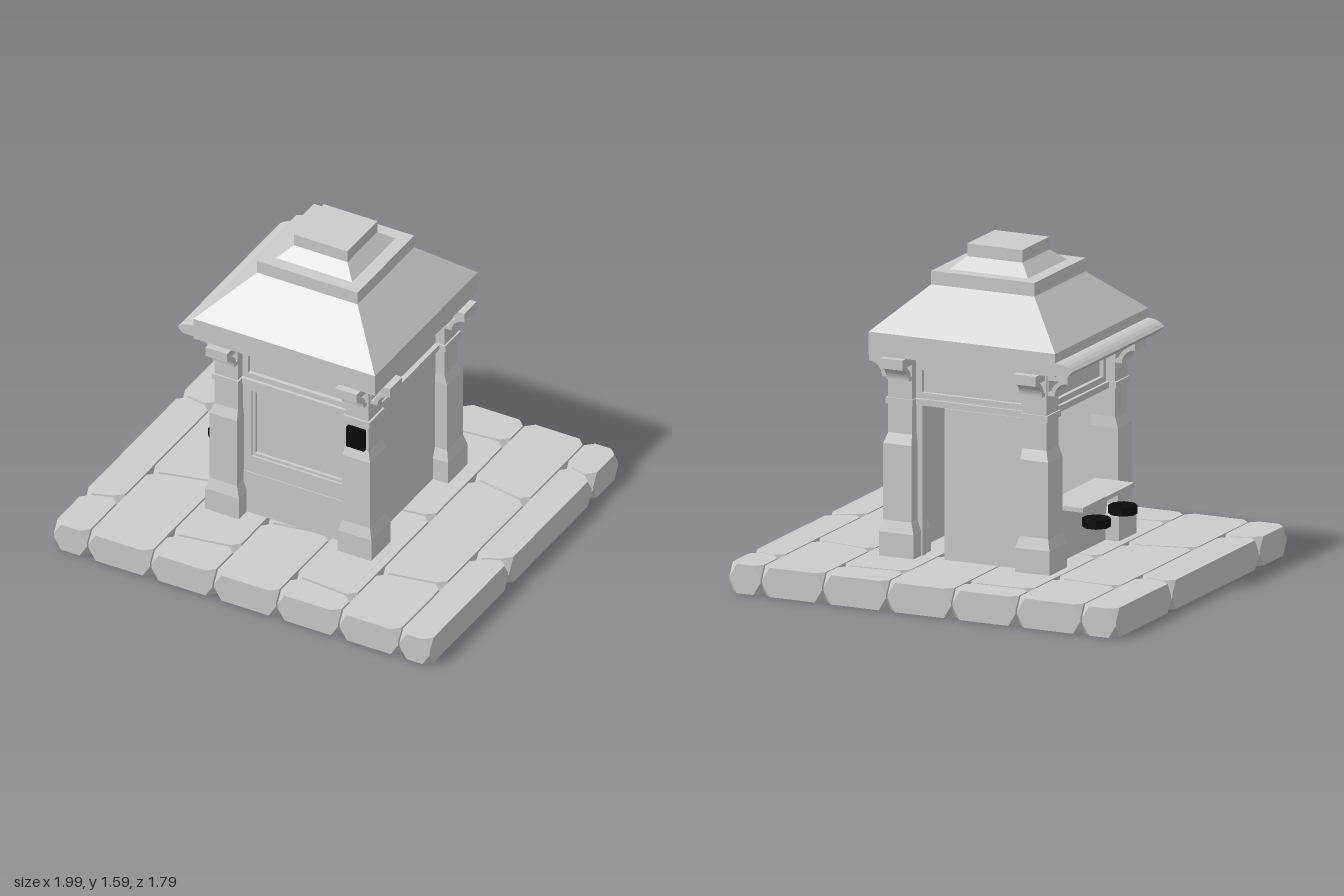
import * as THREE from 'three';
import { ConvexGeometry } from 'three/addons/geometries/ConvexGeometry.js';

const grey = new THREE.MeshStandardMaterial({ color: 0xcccccc, flatShading: true, side: THREE.DoubleSide });
const black = new THREE.MeshStandardMaterial({ color: 0x0a0a0a, flatShading: true });

function add(parent, name, geometry, material = grey) {
  const mesh = new THREE.Mesh(geometry, material);
  mesh.name = name;
  parent.add(mesh);
  return mesh;
}

// Box given by its limits on each axis
function block(parent, name, [x0, x1], [y0, y1], [z0, z1], material) {
  const g = new THREE.BoxGeometry(x1 - x0, y1 - y0, z1 - z0);
  g.translate((x0 + x1) / 2, (y0 + y1) / 2, (z0 + z1) / 2);
  return add(parent, name, g, material);
}

// Block whose top rectangle differs from its bottom; rectangles are [x0, x1, z0, z1]
function taper(parent, name, y0, y1, bottom, top) {
  const g = new THREE.BoxGeometry(1, 1, 1);
  const p = g.attributes.position;
  for (let i = 0; i < p.count; i++) {
    const r = p.getY(i) > 0 ? top : bottom;
    p.setXYZ(i, p.getX(i) > 0 ? r[1] : r[0], p.getY(i) > 0 ? y1 : y0, p.getZ(i) > 0 ? r[3] : r[2]);
  }
  g.computeVertexNormals();
  return add(parent, name, g);
}

// Rectangular frame standing in the xy plane
function frame(parent, name, [x0, x1], [y0, y1], border, z0, depth) {
  const rect = (Type, b) => new Type([
    new THREE.Vector2(x0 + b, y0 + b), new THREE.Vector2(x1 - b, y0 + b),
    new THREE.Vector2(x1 - b, y1 - b), new THREE.Vector2(x0 + b, y1 - b)]);
  const s = rect(THREE.Shape, 0);
  s.holes.push(rect(THREE.Path, border));
  const g = new THREE.ExtrudeGeometry(s, { depth, bevelEnabled: false });
  g.translate(0, 0, z0);
  return add(parent, name, g);
}

// Paving stone with all eight corners cut off; z limits at its left and right sides
function stone(parent, x0, x1, zl, zr) {
  const points = [];
  const cx = 0.038, cy = 0.062, cz = 0.036, h = 0.14;
  [[x0, zl, 1], [x1, zr, -1]].forEach(([x, ends, sx]) => ends.forEach((z, i) => {
    const sz = i ? -1 : 1;
    [[0, 1], [h, -1]].forEach(([y, sy]) => points.push(
      new THREE.Vector3(x + sx * cx, y, z),
      new THREE.Vector3(x, y + sy * cy, z),
      new THREE.Vector3(x, y, z + sz * cz)));
  }));
  add(parent, 'pavingStone', new ConvexGeometry(points));
}

function paving() {
  const g = new THREE.Group();
  g.name = 'paving';
  const xs = [-1, -0.817, -0.483, -0.15, 0.185, 0.515, 0.832, 1];
  // Joints of each row: z at the left side and z at the right side
  const joints = [
    [[-0.31, -0.295], [0.605, 0.57]],
    [[-0.5, -0.485], [0.3, 0.24]],
    [[-0.73, -0.735], [-0.03, 0], [0.7, 0.66]],
    [[-0.36, -0.33], [0.4, 0.36]],
    [[-0.68, -0.7], [0.03, 0], [0.725, 0.745]],
    [[-0.37, -0.33], [0.5, 0.46]],
    [[-0.67, -0.65], [0.185, 0.14]]];
  joints.forEach((row, i) => {
    const cuts = [[-0.902, -0.902], ...row, [0.898, 0.898]];
    for (let k = 0; k + 1 < cuts.length; k++) {
      const [a, b] = [cuts[k], cuts[k + 1]];
      stone(g, xs[i] + 0.004, xs[i + 1] - 0.004, [a[0] + 0.007, b[0] - 0.007], [a[1] + 0.007, b[1] - 0.007]);
    }
  });
  return g;
}

// Corner pillar of stacked blocks, [y, inner, outer] per level
function pillar(parent, sx, sz) {
  const levels = [[0.14, 0.262, 0.44], [0.255, 0.262, 0.44], [0.31, 0.28, 0.425], [0.675, 0.28, 0.425],
    [0.725, 0.285, 0.408], [1.1, 0.285, 0.408]];
  const rect = ([, a, b]) => {
    const x = [a * sx, b * sx].sort((m, n) => m - n);
    const z = [(a + 0.01) * sz, (b + 0.015) * sz].sort((m, n) => m - n);
    return [...x, z[0] - 0.005, z[1] - 0.005];
  };
  for (let i = 0; i + 1 < levels.length; i++)
    taper(parent, 'pillar', levels[i][0], levels[i + 1][0], rect(levels[i]), rect(levels[i + 1]));
  const [x0, x1, z0, z1] = rect([0, 0.278, 0.417]);
  block(parent, 'pillarBand', [x0, x1], [0.862, 0.892], [z0, z1]);
}

// Eaves bracket: slab carried by a concave strip, open behind
function bracketGeometry() {
  const s = new THREE.Shape();
  s.moveTo(0, 0);
  s.lineTo(0.038, 0);
  s.absarc(0.105, 0, 0.067, Math.PI, Math.PI / 2, true);
  s.lineTo(0.105, 0.072);
  s.lineTo(0.105, 0.115);
  s.lineTo(0, 0.115);
  s.closePath();
  const hole = new THREE.Path();
  hole.moveTo(0.006, 0.018);
  hole.lineTo(0.018, 0.018);
  hole.quadraticCurveTo(0.03, 0.06, 0.066, 0.074);
  hole.lineTo(0.006, 0.074);
  hole.closePath();
  s.holes.push(hole);
  const g = new THREE.ExtrudeGeometry(s, { depth: 0.115, bevelEnabled: false, curveSegments: 8 });
  return g.translate(0, 0, -0.0575);
}

export function createModel() {
  const model = new THREE.Group();
  model.name = 'kiosk';
  model.add(paving());

  // Pillars and the brackets on both outer faces of each
  const bracket = bracketGeometry();
  for (const sx of [-1, 1]) for (const sz of [-1, 1]) {
    pillar(model, sx, sz);
    const side = add(model, 'bracket', bracket);
    side.position.set(sx * 0.407, 0.985, sz * 0.352 - 0.008);
    side.rotation.y = sx > 0 ? 0 : Math.PI;
    const end = add(model, 'bracket', bracket);
    end.position.set(sx * 0.343, 0.985, sz * 0.418 - 0.004);
    end.rotation.y = -sz * Math.PI / 2;
  }

  // Plain side wall
  block(model, 'sideWall', [0.33, 0.36], [0.14, 1.1], [-0.32, 0.31]);
  block(model, 'sideBand', [0.34, 0.385], [0.865, 0.89], [-0.31, 0.3]);

  // Front wall with a framed panel
  block(model, 'frontWall', [-0.29, 0.29], [0.14, 0.87], [0.32, 0.345]);
  block(model, 'frontPlinth', [-0.29, 0.29], [0.14, 0.365], [0.34, 0.375]);
  frame(model, 'frontFrame', [-0.285, 0.285], [0.365, 0.865], 0.045, 0.34, 0.03);
  frame(model, 'frontPanelRim', [-0.24, 0.25], [0.455, 0.845], 0.015, 0.34, 0.02);
  block(model, 'frontSill', [-0.27, 0.27], [0.365, 0.455], [0.34, 0.37]);

  // Back wall with a door beside a narrow opening
  block(model, 'backDoor', [-0.27, 0.13], [0.14, 0.86], [-0.4, -0.36]);
  block(model, 'doorPost', [0.255, 0.29], [0.14, 0.87], [-0.38, -0.34]);

  // Serving side: low wall, counter and stools
  block(model, 'counterWall', [-0.37, -0.34], [0.14, 0.41], [-0.32, 0.31]);
  block(model, 'counter', [-0.52, -0.32], [0.408, 0.43], [-0.275, 0.265]);
  for (const z of [-0.155, 0.12]) {
    const seat = add(model, 'stoolSeat', new THREE.CylinderGeometry(0.068, 0.068, 0.04, 8), black);
    seat.rotation.y = Math.PI / 8;
    seat.position.set(-0.532, 0.338, z);
  }

  // Framed frieze above the front, back and serving side
  for (const [angle, d] of [[0, 0.355], [Math.PI, 0.365], [-Math.PI / 2, 0.345]]) {
    const frieze = new THREE.Group();
    frieze.name = 'frieze';
    frieze.rotation.y = angle;
    block(frieze, 'friezeWall', [-0.3, 0.3], [0.865, 1.1], [d - 0.03, d]);
    frame(frieze, 'friezeFrame', [-0.285, 0.285], [0.89, 1.057], 0.03, d - 0.005, 0.025);
    block(frieze, 'friezeBand', [-0.285, 0.285], [0.862, 0.892], [d - 0.01, d + 0.035]);
    block(frieze, 'friezeCornice', [-0.275, 0.275], [1.055, 1.1], [d - 0.01, d + 0.04]);
    model.add(frieze);
  }

  // Notice box on the front pillar
  block(model, 'noticeBox', [0.3, 0.393], [0.73, 0.842], [0.4, 0.437], black);

  // Stepped hipped roof
  const rect = (hx, hz) => [-hx - 0.003, hx - 0.003, -hz - 0.004, hz - 0.004];
  const steps = [['eaves', 1.1, 1.21, 0.481, 0.487, 0.481, 0.487], ['lowerRoof', 1.21, 1.41, 0.481, 0.487, 0.266, 0.268],
    ['roofStep', 1.41, 1.475, 0.266, 0.268, 0.266, 0.268], ['upperRoof', 1.475, 1.53, 0.202, 0.205, 0.142, 0.142],
    ['roofCap', 1.53, 1.59, 0.142, 0.142, 0.142, 0.142]];
  for (const [name, y0, y1, bx, bz, tx, tz] of steps) taper(model, name, y0, y1, rect(bx, bz), rect(tx, tz));

  // Rolled awning over the serving side
  const roll = new THREE.Shape();
  roll.moveTo(-0.47, 1.105);
  roll.lineTo(-0.545, 1.105);
  roll.lineTo(-0.572, 1.132);
  roll.quadraticCurveTo(-0.545, 1.162, -0.5, 1.165);
  roll.lineTo(-0.47, 1.165);
  roll.closePath();
  const awning = new THREE.ExtrudeGeometry(roll, { depth: 0.965, bevelEnabled: false, curveSegments: 4 });
  add(model, 'awning', awning.translate(0, 0, -0.49));

  return model;
}
